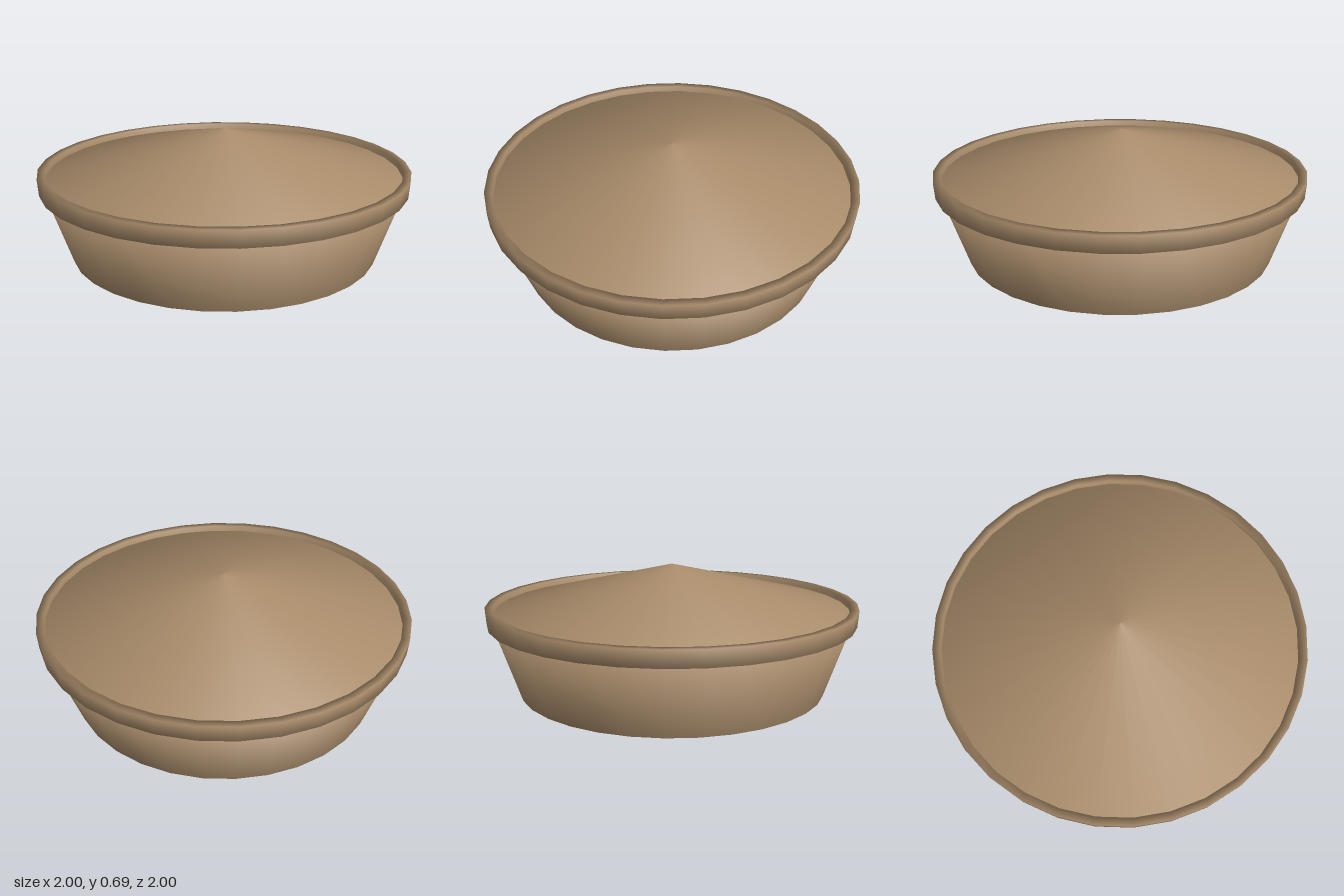
import * as THREE from 'three';

const SIDES = 32;

// Turn a profile of [radius, height] pairs; flats face the axes
function turned(name, profile, material) {
  const widen = 1 / Math.cos(Math.PI / SIDES);
  const points = profile.map(([r, y]) => new THREE.Vector2(r * widen, y));
  const mesh = new THREE.Mesh(new THREE.LatheGeometry(points, SIDES, Math.PI / SIDES), material);
  mesh.name = name;
  return mesh;
}

export function createModel() {
  const model = new THREE.Group();
  model.name = 'basket';

  const wicker = new THREE.MeshStandardMaterial({ color: 0xa88b6a });
  wicker.name = 'wicker brown';
  wicker.side = THREE.DoubleSide;

  // Flared wall, open below, running smoothly into the shallow conical top
  model.add(turned('wallAndConicalTop', [[0.83, 0], [0.98, 0.437], [0, 0.685]], wicker));

  // Raised band around the top edge
  model.add(turned('rim', [
    [0.953, 0.385], [0.993, 0.385], [1, 0.475], [0.957, 0.475], [0.953, 0.385],
  ], wicker));

  return model;
}
